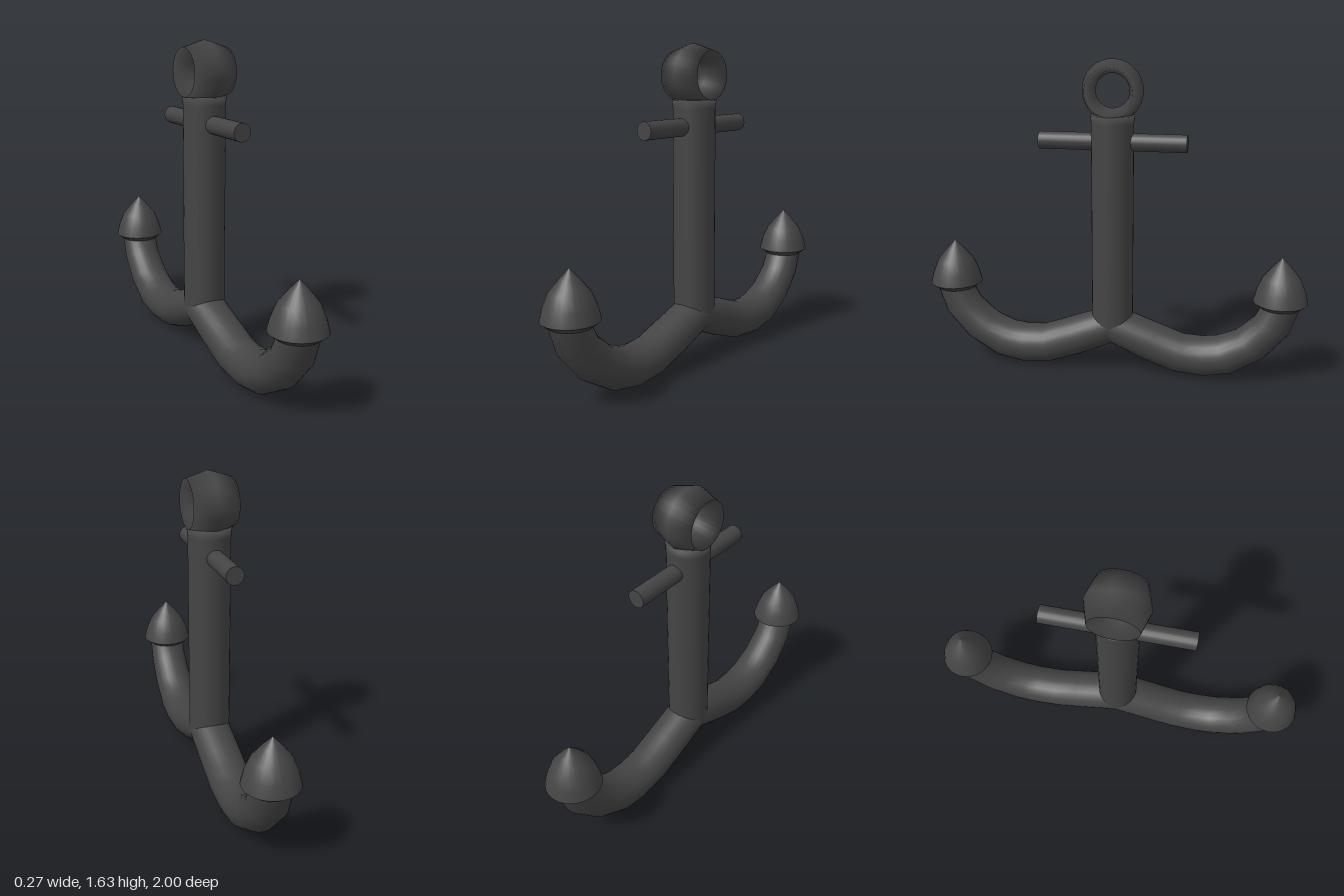
import * as THREE from 'three';

const material = new THREE.MeshStandardMaterial({ color: 0x444444 });

function add(parent, name, geometry) {
  const mesh = new THREE.Mesh(geometry, material);
  mesh.name = name;
  parent.add(mesh);
  return mesh;
}

function lathe(points, segments) {
  return new THREE.LatheGeometry(points.map(([r, y]) => new THREE.Vector2(r, y)), segments);
}

// Round sections along a path in the z-y plane: [z, y, half width, half thickness, normal angle]
function armGeometry(sections, sides = 24) {
  const positions = [], indices = [];
  for (const [z, y, width, thickness, angle] of sections) {
    for (let i = 0; i < sides; i++) {
      const t = (i / sides) * Math.PI * 2;
      const s = Math.sin(t) * thickness;
      positions.push(Math.cos(t) * width, y + s * Math.cos(angle), z - s * Math.sin(angle));
    }
  }
  for (let j = 0; j < sections.length - 1; j++) {
    for (let i = 0; i < sides; i++) {
      const a = j * sides + i, b = j * sides + (i + 1) % sides;
      indices.push(a, b, a + sides, b, b + sides, a + sides);
    }
  }
  const geometry = new THREE.BufferGeometry();
  geometry.setAttribute('position', new THREE.Float32BufferAttribute(positions, 3));
  geometry.setIndex(indices);
  geometry.computeVertexNormals();
  return geometry;
}

export function createModel() {
  const anchor = new THREE.Group();
  anchor.name = 'anchor';

  // Upright shank, flaring slightly under the ring
  add(anchor, 'shank', lathe([[0.107, 0.26], [0.107, 1.32], [0.112, 1.36], [0, 1.37]], 32));

  // Wide ring with a diamond section, its hole running along x
  const ring = add(anchor, 'ring', new THREE.TorusGeometry(0.12, 0.035, 4, 32));
  ring.scale.z = 0.115 / 0.035;
  ring.rotation.y = Math.PI / 2;
  ring.position.y = 1.48;

  // Cross bar through the shank
  const stock = add(anchor, 'stock', new THREE.CylinderGeometry(0.045, 0.045, 0.75, 20));
  stock.rotation.x = Math.PI / 2;
  stock.position.y = 1.227;

  // Two mirrored arms, each with a pointed fluke
  const arm = armGeometry([
    [0, 0.255, 0.108, 0.102, 0],
    [0.20, 0.176, 0.108, 0.102, -0.36],
    [0.35, 0.122, 0.108, 0.102, -0.25],
    [0.48, 0.112, 0.108, 0.104, 0.08],
    [0.59, 0.130, 0.108, 0.104, 0.42],
    [0.72, 0.200, 0.106, 0.100, 0.88],
    [0.825, 0.310, 0.102, 0.097, 1.2],
    [0.875, 0.430, 0.098, 0.090, 1.5],
  ]);
  const fluke = lathe([[0, 0.412], [0.1, 0.412], [0.137, 0.44]], 24);
  const flukeTip = lathe([[0.137, 0.44], [0.122, 0.5], [0.094, 0.565], [0.045, 0.625], [0, 0.673]], 24);
  for (const [side, turn] of [['front', 0], ['back', Math.PI]]) {
    const half = new THREE.Group();
    half.name = side + 'Arm';
    half.rotation.y = turn;
    add(half, side + 'ArmCurve', arm);
    add(half, side + 'FlukeBase', fluke).position.z = 0.862;
    add(half, side + 'FlukeTip', flukeTip).position.z = 0.862;
    anchor.add(half);
  }
  return anchor;
}
